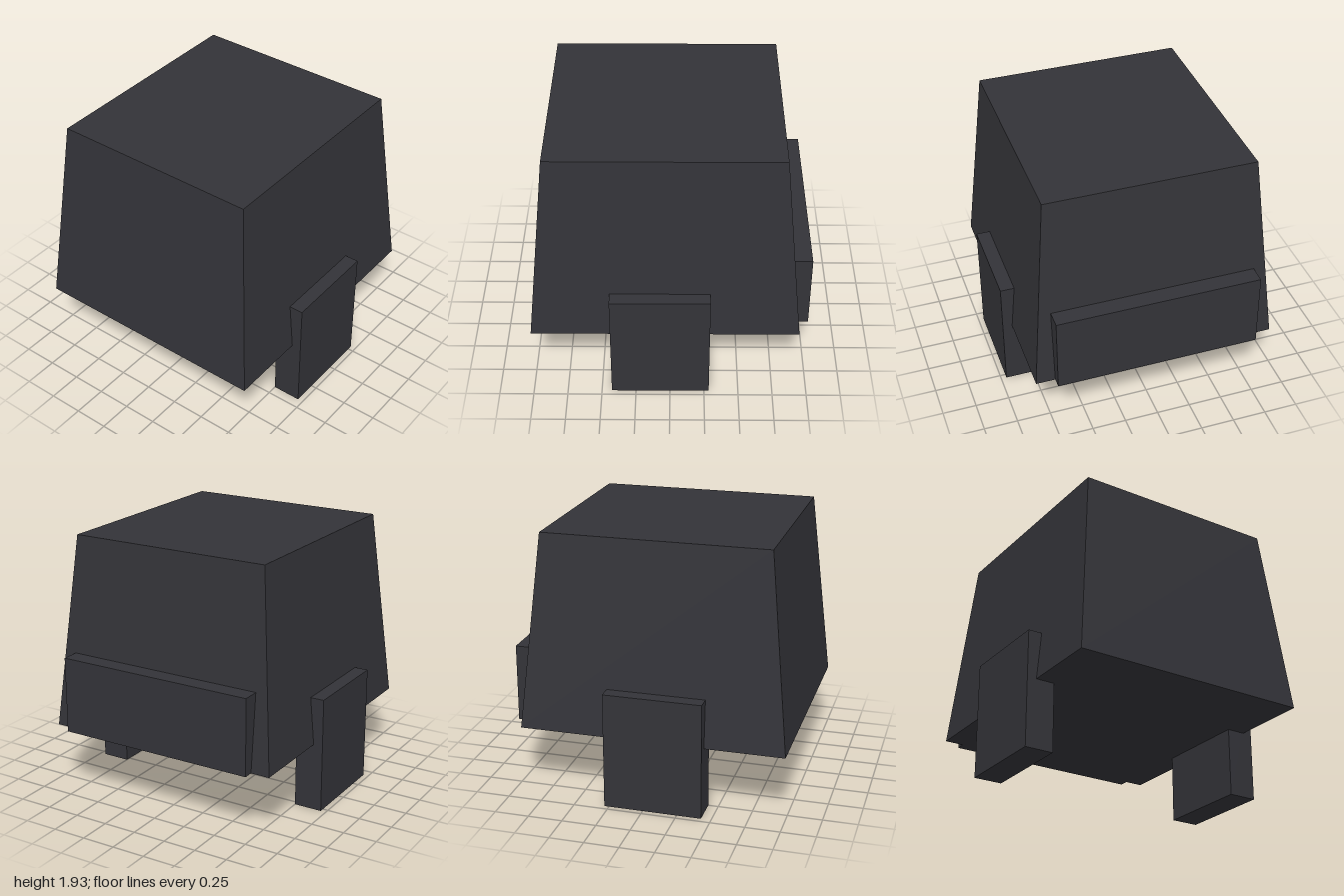
import * as THREE from 'three';

const charcoal = new THREE.MeshStandardMaterial({ color: 0x333338 });
charcoal.name = 'charcoal';

// Box given by its lower and upper corners
function block(name, min, max) {
  const [w, h, d] = max.map((v, i) => v - min[i]);
  const geometry = new THREE.BoxGeometry(w, h, d);
  geometry.translate(min[0] + w / 2, min[1] + h / 2, min[2] + d / 2);
  const mesh = new THREE.Mesh(geometry, charcoal);
  mesh.name = name;
  return mesh;
}

export function createModel() {
  const model = new THREE.Group();
  model.name = 'taperedBoxOnLegs';

  // Body: a box whose top face is drawn in on all four sides
  const body = block('body', [-0.89, 0.505, -0.928], [0.89, 1.93, 1]);
  const p = body.geometry.attributes.position;
  for (let i = 0; i < p.count; i++) {
    if (p.getY(i) < 1) continue;
    p.setX(i, Math.sign(p.getX(i)) * 0.76);
    p.setZ(i, p.getZ(i) > 0 ? 0.855 : -0.785);
  }
  body.geometry.computeVertexNormals();
  model.add(body);

  // Slab legs, one on each side
  model.add(block('leftLeg', [0.75, 0, -0.285], [0.96, 0.858, 0.427]));
  model.add(block('rightLeg', [-0.96, 0, -0.285], [-0.75, 0.858, 0.427]));

  // Panel across the lower back
  model.add(block('backPanel', [-0.75, 0.505, -1], [0.75, 1.072, -0.79]));

  return model;
}
